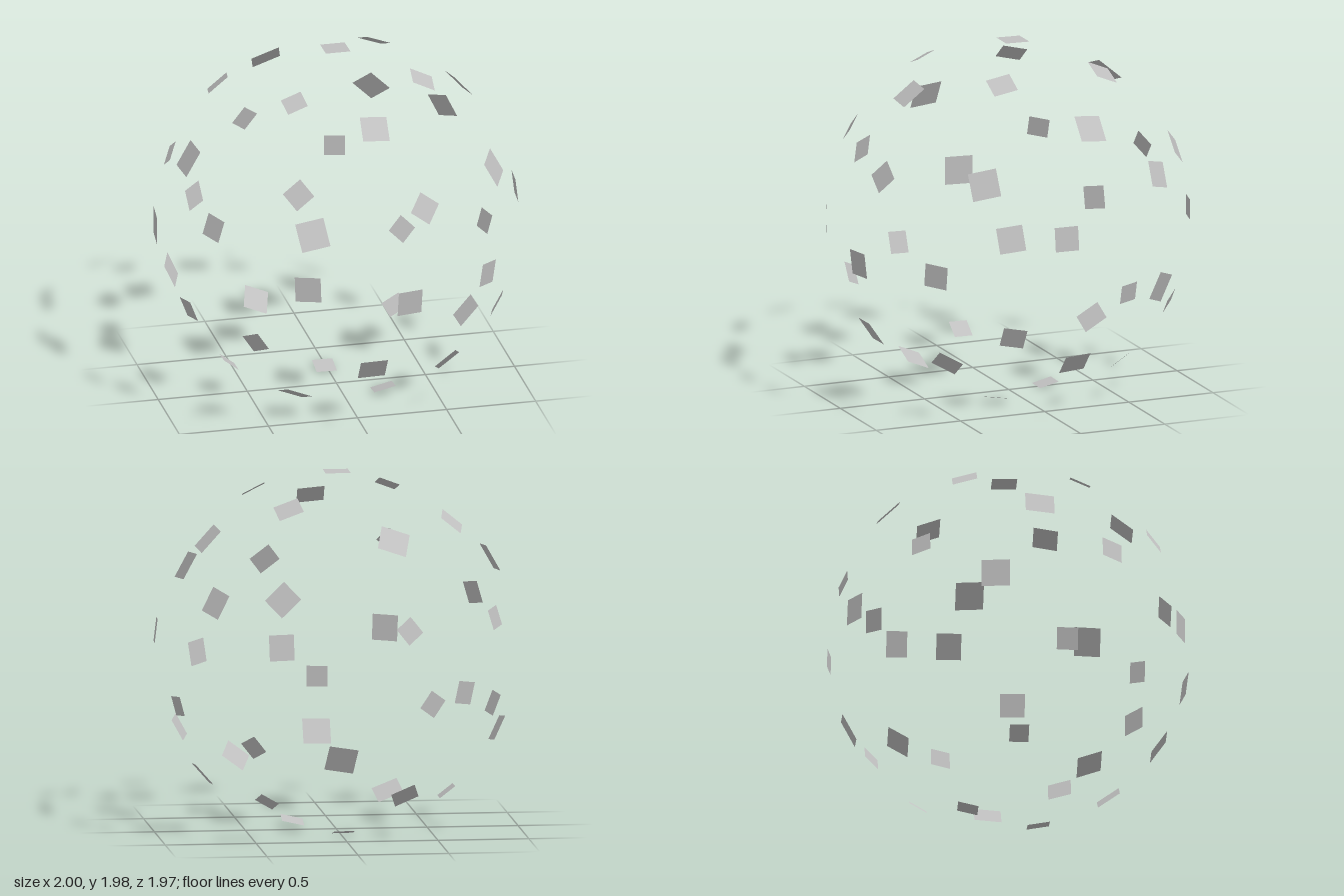
import * as THREE from 'three';

// One [angle in degrees, edge length] pair per panel, from the front pole to the back pole.
const PANELS = [
  [-34, .142], [182, .143], [53, .13], [-89, .152], [129, .125], [-8.4, .132], [213.5, .115], [85, .15],
  [-53.4, .143], [164, .125], [28.3, .157], [248.3, .147], [110.6, .118], [-28.8, .13], [201, .122], [63.7, .136],
  [-77, .124], [150.6, .16], [7, .135], [232.3, .106], [90, .138], [-41.4, .149], [180, .157], [42, .157],
  [269.2, .114], [129, .138], [-15, .11], [204.6, .144], [69.7, .141], [-60, .109], [163.2, .113], [26, .144],
  [247, .14], [108.8, .162], [-38, .109], [192, .125], [46, .147], [-81, .16], [141.5, .112], [1, .114],
];

export function createModel() {
  const model = new THREE.Group();
  model.name = 'panelSphere';

  const panelGrey = new THREE.MeshStandardMaterial({ color: 0xbfbfbf, side: THREE.DoubleSide });
  panelGrey.name = 'panelGrey';

  const square = new THREE.PlaneGeometry(1, 1);
  const poleAxis = new THREE.Vector3(0, 0, 1);
  const upAxis = new THREE.Vector3(0, 1, 0);
  const radius = 0.995;

  // Square panels spiral round the sphere in equal steps of depth, each facing outwards.
  PANELS.forEach(([degrees, size], i) => {
    const depth = 1 - (2 * i + 1) / PANELS.length;
    const ring = Math.sqrt(1 - depth * depth);
    const angle = THREE.MathUtils.degToRad(degrees);
    const normal = new THREE.Vector3(ring * Math.cos(angle), ring * Math.sin(angle), depth);

    // Edges follow the lines of longitude, except beside the poles.
    const up = Math.abs(depth) > 0.95 ? upAxis : poleAxis;
    const side = new THREE.Vector3().crossVectors(up, normal).normalize();
    const rise = new THREE.Vector3().crossVectors(normal, side);

    const panel = new THREE.Mesh(square, panelGrey);
    panel.name = `panel${i + 1}`;
    panel.quaternion.setFromRotationMatrix(new THREE.Matrix4().makeBasis(side, rise, normal));
    panel.position.copy(normal).multiplyScalar(radius);
    panel.position.y += 0.995;
    panel.scale.set(size, size, 1);
    model.add(panel);
  });

  return model;
}
